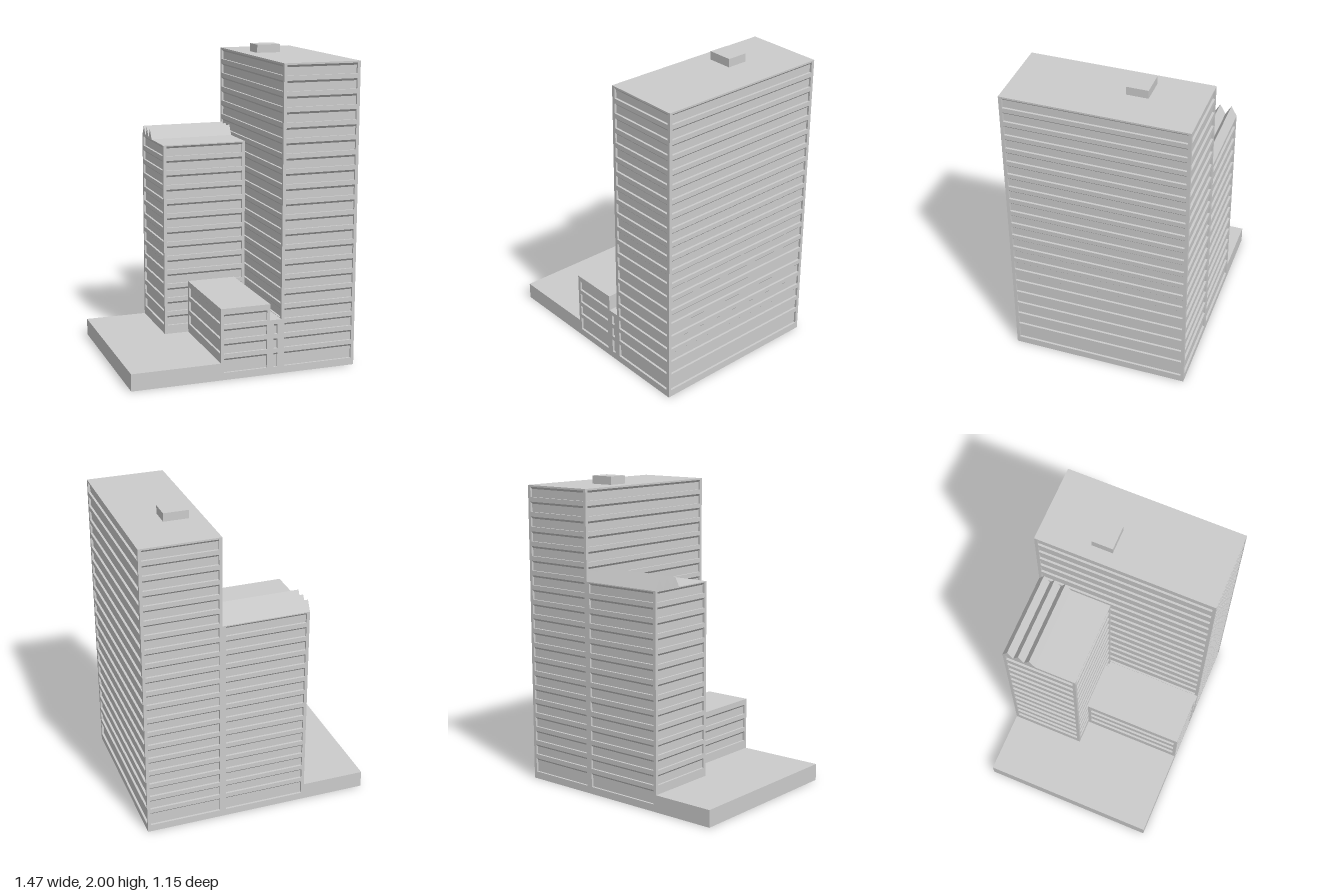
import * as THREE from 'three';
import { mergeGeometries } from 'three/addons/utils/BufferGeometryUtils.js';

const material = new THREE.MeshStandardMaterial({ color: 0xcccccc });
const FLOOR = 0.0946, DEPTH = 0.014, SOFFIT = 0.014;
const rowTop = (k) => 0.1385 + k * FLOOR;
const rowBottom = (k) => (k === 0 ? 0.047 : rowTop(k) - 0.065);

// Window recess: upright sides and sill, sloping soffit, flat pane
function recess(l, r, b, t) {
  const outer = [[l, b, 0], [r, b, 0], [r, t, 0], [l, t, 0]];
  const inner = [[l, b, -DEPTH], [r, b, -DEPTH], [r, t - SOFFIT, -DEPTH], [l, t - SOFFIT, -DEPTH]];
  const pos = [];
  const quad = (p, q, s, u) => pos.push(...p, ...q, ...s, ...p, ...s, ...u);
  quad(...inner);
  for (let i = 0; i < 4; i++) {
    const j = (i + 1) % 4;
    quad(outer[i], outer[j], inner[j], inner[i]);
  }
  const g = new THREE.BufferGeometry();
  g.setAttribute('position', new THREE.Float32BufferAttribute(pos, 3));
  g.computeVertexNormals();
  return g;
}

function flat(geometry) {
  const g = geometry.toNonIndexed();
  g.deleteAttribute('uv');
  return g;
}

// Wall facing +z, centred on x, with one ribbon window per floor
function facade(w, h, rows, margin) {
  const shape = new THREE.Shape();
  shape.moveTo(-w / 2, 0).lineTo(w / 2, 0).lineTo(w / 2, h).lineTo(-w / 2, h).closePath();
  const parts = [];
  if (rows) {
    const e = w / 2 - margin;
    for (let k = rows[0]; k <= rows[1]; k++) {
      const b = rowBottom(k), t = rowTop(k);
      const hole = new THREE.Path();
      hole.moveTo(-e, b).lineTo(-e, t).lineTo(e, t).lineTo(e, b).closePath();
      shape.holes.push(hole);
      parts.push(recess(-e, e, b, t));
    }
  }
  parts.push(flat(new THREE.ShapeGeometry(shape)));
  return mergeGeometries(parts);
}

// Block with four facades; each row range is [first floor, last floor]
function block(name, [x0, x1], [z0, z1], h, rows, margin = 0.02) {
  const w = x1 - x0, d = z1 - z0;
  const sides = [['front', w, d, 0], ['left', d, w, 1], ['back', w, d, 2], ['right', d, w, 3]];
  const parts = sides.map(([side, width, across, turn]) =>
    facade(width, h, rows[side], margin).translate(0, 0, across / 2).rotateY(turn * Math.PI / 2));
  parts.push(flat(new THREE.PlaneGeometry(w, d).rotateX(-Math.PI / 2).translate(0, h, 0)));
  parts.push(flat(new THREE.PlaneGeometry(w, d).rotateX(Math.PI / 2)));
  const mesh = new THREE.Mesh(mergeGeometries(parts), material);
  mesh.name = name;
  mesh.position.set((x0 + x1) / 2, 0, (z0 + z1) / 2);
  return mesh;
}

function box(name, [x0, x1], [y0, y1], [z0, z1]) {
  const mesh = new THREE.Mesh(new THREE.BoxGeometry(x1 - x0, y1 - y0, z1 - z0), material);
  mesh.name = name;
  mesh.position.set((x0 + x1) / 2, (y0 + y1) / 2, (z0 + z1) / 2);
  return mesh;
}

export function createModel() {
  const model = new THREE.Group();
  model.name = 'officeBuilding';
  const BACK = -0.575, FRONT = 0.575, MID = -0.085;

  // Tall slab, lower tower, front wing and narrow link
  model.add(
    block('tallTower', [0.235, 0.737], [BACK, FRONT], 1.947,
      { front: [0, 19], back: [0, 19], left: [0, 19], right: [3, 19] }),
    block('lowerTower', [-0.325, 0.235], [BACK, MID], 1.375,
      { front: [1, 13], back: [0, 13], right: [1, 13] }),
    block('frontWing', [-0.163, 0.16], [MID, FRONT], 0.46,
      { front: [0, 3], right: [1, 3] }),
    block('link', [0.16, 0.235], [MID, FRONT], 0.355, { front: [0, 2] }, 0.025),
  );

  // Podium wraps around the towers
  model.add(
    box('podium', [-0.738, -0.325], [0, 0.11], [BACK, FRONT]),
    box('podiumInfill', [-0.325, -0.163], [0, 0.11], [MID, FRONT]),
  );

  // Plant room on the tall roof
  model.add(box('plantRoom', [0.325, 0.485], [1.947, 2], [-0.245, -0.11]));

  // Sawtooth skylights along the back of the lower roof
  const pitch = 0.0735;
  const tooth = new THREE.Shape();
  tooth.moveTo(0, 0).lineTo(pitch, 0).lineTo(pitch / 2, 0.065).closePath();
  const toothGeometry = new THREE.ExtrudeGeometry(tooth, { depth: 0.56, bevelEnabled: false });
  toothGeometry.rotateY(-Math.PI / 2);
  for (let i = 0; i < 3; i++) {
    const skylight = new THREE.Mesh(toothGeometry, material);
    skylight.name = 'skylight' + (i + 1);
    skylight.position.set(0.235, 1.375, BACK + i * pitch);
    model.add(skylight);
  }
  return model;
}
